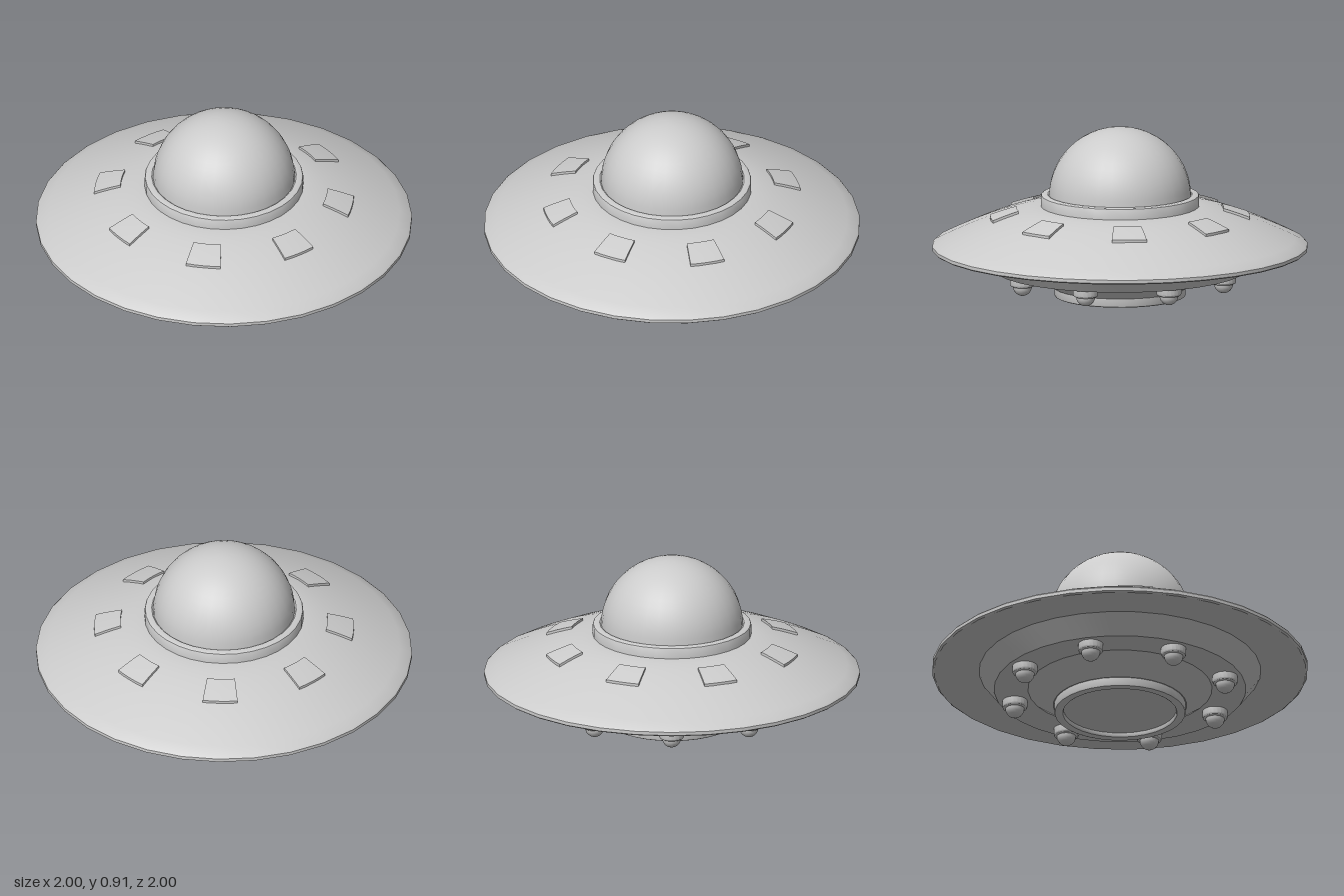
import * as THREE from 'three';
import { toCreasedNormals } from 'three/addons/utils/BufferGeometryUtils.js';

const SIDES = 32;
const material = new THREE.MeshStandardMaterial({ color: 0xcccccc });

// Height of the upper hull at radius r
const hullY = (r) => 0.28 + 0.21 * (1 - Math.pow(Math.max(0, 1 - (1 - r) / 0.57), 1.4));

function part(name, geometry) {
  const mesh = new THREE.Mesh(toCreasedNormals(geometry, 0.5), material);
  mesh.name = name;
  return mesh;
}

// Turned part; profile of [radius, height] runs counter-clockwise from the bottom
function turned(name, profile, sides = SIDES) {
  const points = profile.map(([r, y]) => new THREE.Vector2(r, y));
  return part(name, new THREE.LatheGeometry(points, sides));
}

// Quarter ellipse from the equator to the pole (sign -1 points down)
function quarter(r, y, h, steps) {
  return Array.from({ length: steps + 1 }, (_, i) => {
    const a = (i / steps) * Math.PI / 2;
    return [i === steps ? 0 : r * Math.cos(a), y + h * Math.sin(a)];
  });
}

// Thin curved plate that follows the hull
function windowGeometry() {
  const geometry = new THREE.BoxGeometry(1, 1, 1, 4, 1, 3);
  const p = geometry.attributes.position;
  for (let i = 0; i < p.count; i++) {
    const a = p.getX(i) * THREE.MathUtils.degToRad(15.5);
    const r = 0.62 + p.getZ(i) * 0.14;
    p.setXYZ(i, r * Math.sin(a), hullY(r) + p.getY(i) * 0.026, r * Math.cos(a));
  }
  return geometry;
}

export function createModel() {
  const model = new THREE.Group();
  model.name = 'flyingSaucer';

  // Saucer disc with a thin rim
  const hull = [[0, 0.25], [0.99, 0.25], [1, 0.257], [1, 0.275]];
  for (let i = 0; i <= 10; i++) {
    const r = 0.99 - 0.056 * i;
    hull.push([r, hullY(r)]);
  }
  hull.push([0, 0.49]);
  model.add(turned('hull', hull));

  // Collar and dome
  model.add(turned('collar', [
    [0.36, 0.485], [0.422, 0.485], [0.422, 0.54], [0.419, 0.547], [0.411, 0.551],
    [0.385, 0.551], [0.378, 0.545], [0.36, 0.54],
  ]));
  model.add(turned('dome', quarter(0.378, 0.54, 0.37, 14)));

  // Stepped underside
  model.add(turned('underside', [
    [0, 0.05], [0.355, 0.05], [0.49, 0.145], [0.67, 0.145], [0.75, 0.25],
  ]));

  // Landing ring with a recessed plate
  model.add(turned('baseRing', [
    [0.30, 0.03], [0.30, 0.012], [0.304, 0.004], [0.312, 0], [0.338, 0],
    [0.347, 0.004], [0.35, 0.012], [0.35, 0.052],
  ]));
  model.add(turned('basePlate', [[0, 0.026], [0.305, 0.026], [0.305, 0.05]]));

  // Windows around the hull and lamps beneath it
  for (let i = 0; i < 8; i++) {
    const pane = part('window', windowGeometry());
    pane.rotation.y = (i + 0.5) * Math.PI / 4;
    model.add(pane);

    const lamp = new THREE.Group();
    lamp.name = 'lamp';
    lamp.add(turned('lampSocket', [
      [0, 0.1], [0.056, 0.1], [0.063, 0.104], [0.067, 0.112], [0.067, 0.15],
    ], 20));
    lamp.add(turned('lampBulb', quarter(0.051, 0.102, -0.052, 6).reverse(), 20));
    const a = i * Math.PI / 4;
    lamp.position.set(0.58 * Math.sin(a), 0, 0.58 * Math.cos(a));
    model.add(lamp);
  }
  return model;
}
